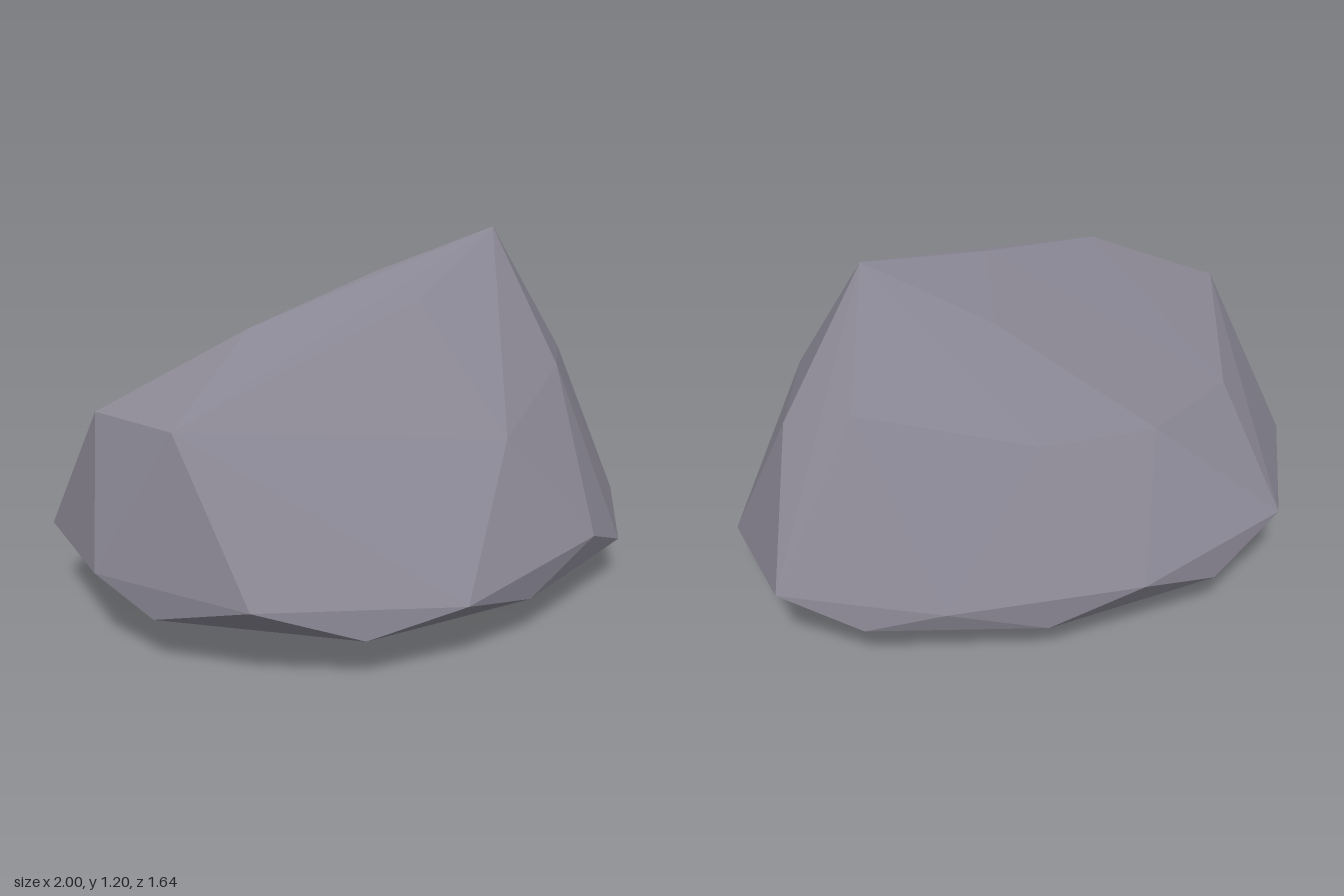
import * as THREE from 'three';
import { ConvexGeometry } from 'three/addons/geometries/ConvexGeometry.js';

// Corners of the boulder, level by level: [x, y, z]
const crest = [
  [0.53, 1.2, -0.02], [0.05, 1.1, 0.04], [-0.45, 0.99, 0.16],
  [0.15, 1.02, 0.16], [0.17, 0.98, -0.22],
];
const shoulder = [
  [-0.93, 0.76, 0.08], [-0.79, 0.77, 0.4], [-0.27, 0.7, 0.44], [0.3, 0.62, 0.5],
  [0.64, 0.76, 0.25], [0.83, 0.73, -0.04], [0.68, 0.8, -0.22],
  [0.18, 0.69, -0.52], [-0.24, 0.635, -0.54], [-0.66, 0.595, -0.36],
];
const girth = [
  [-1, 0.29, 0.23], [-0.67, 0.29, 0.7], [-0.01, 0.23, 0.82], [0.6, 0.26, 0.58],
  [0.94, 0.24, 0.18], [1, 0.29, -0.29], [0.56, 0.23, -0.58],
  [-0.02, 0.27, -0.82], [-0.64, 0.275, -0.72], [-1, 0.27, -0.28],
];
const underside = [
  [-0.87, 0.18, 0.4], [-0.33, 0.16, 0.77], [0.29, 0.14, 0.69], [0.8, 0.16, 0.44],
  [0.9, 0.14, -0.02], [0.78, 0.17, -0.45], [0.26, 0.14, -0.7],
  [-0.33, 0.16, -0.78], [-0.8, 0.155, -0.52], [-0.9, 0.16, 0],
];
const foot = [
  [-0.6, 0.05, 0.02], [-0.22, 0.045, 0.42], [0.47, 0.045, 0.28],
  [0.47, 0.04, -0.27], [-0.18, 0.07, -0.43], [0, 0, -0.02],
];

export function createModel() {
  const group = new THREE.Group();
  group.name = 'rock';

  const stone = new THREE.MeshStandardMaterial({ color: 0x8a8794, flatShading: true });
  stone.name = 'grey stone';

  // Faceted stone wrapped around all the corners
  const corners = [crest, shoulder, girth, underside, foot]
    .flat()
    .map((p) => new THREE.Vector3(...p));
  const boulder = new THREE.Mesh(new ConvexGeometry(corners), stone);
  boulder.name = 'boulder';
  group.add(boulder);

  return group;
}
